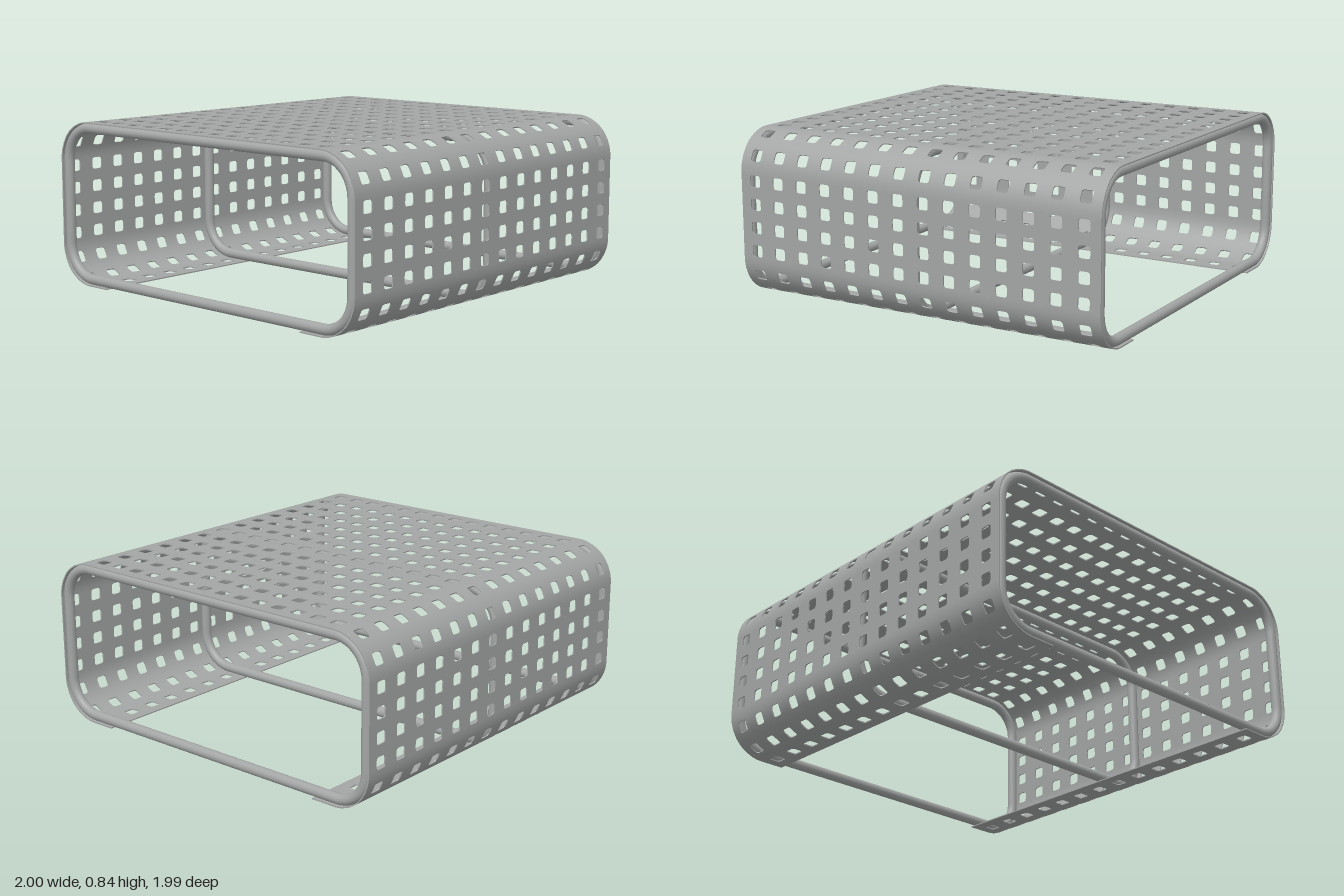
import * as THREE from 'three';

// Rounded-rectangle profile of the sheet, measured by arc length from the top centre
const HALF_W = 1, HEIGHT = 0.836, R = 0.203, HALF_D = 0.995, THICK = 0.006, TUBE_R = 0.026;
const FLAT = HALF_W - R, SIDE = HEIGHT - 2 * R, ARC = R * Math.PI / 2;
const HALF_LOOP = 2 * FLAT + SIDE + 2 * ARC;
const LIP_END = FLAT + SIDE + 2 * ARC + 0.127;

// Point and outward normal at arc length s, moved inwards by inset
function profile(s, inset) {
  const sign = s < 0 ? -1 : 1;
  let d = Math.abs(s), x, y, a; // a: angle of the normal from straight up
  if (d <= FLAT) { x = d; y = HEIGHT - R; a = 0; }
  else if ((d -= FLAT) <= ARC) { x = FLAT; y = HEIGHT - R; a = d / R; }
  else if ((d -= ARC) <= SIDE) { x = FLAT; y = HEIGHT - R - d; a = Math.PI / 2; }
  else if ((d -= SIDE) <= ARC) { x = FLAT; y = R; a = Math.PI / 2 + d / R; }
  else { x = FLAT - (d - ARC); y = R; a = Math.PI; }
  const nx = Math.sin(a), ny = Math.cos(a), r = R - inset;
  return {
    p: new THREE.Vector3(sign * (x + nx * r), y + ny * r, 0),
    n: new THREE.Vector3(sign * nx, ny, 0),
  };
}

// Closed loop that runs just inside the sheet
class FrameCurve extends THREE.Curve {
  getPoint(t, target = new THREE.Vector3()) {
    const s = (t % 1) * 2 * HALF_LOOP - HALF_LOOP;
    return target.copy(profile(s, THICK + TUBE_R).p);
  }
}

// Hole centres along the profile and along the depth
function holeCentres() {
  const half = [];
  for (let k = 0; k < 7; k++) half.push(0.0582 + 0.1163 * k);
  const sideMid = FLAT + ARC + SIDE / 2;
  for (const o of [-0.44, -0.305, -0.176, -0.0585, 0.0585, 0.176, 0.305, 0.44]) half.push(sideMid + o);
  half.push(FLAT + ARC * 2 + SIDE + 0.041);
  return [...half.map((s) => -s).reverse(), ...half];
}
const depthCentres = Array.from({ length: 14 }, (_, i) => (i - 6.5) * 0.1402);

// Cell edges lie midway between neighbouring holes
const cellEdges = (c, end) => [-end, ...c.slice(1).map((v, i) => (v + c[i]) / 2), end];

// Unit square outline, with points gathered towards the corners
function squareRing() {
  const ring = [], steps = [-1, -0.8, -0.56, 0, 0.56, 0.8];
  for (const u of steps) ring.push([u, -1]);
  for (const u of steps) ring.push([1, u]);
  for (const u of steps) ring.push([-u, 1]);
  for (const u of steps) ring.push([-1, -u]);
  return ring;
}

// Bent sheet made of cells, each with one rounded square hole
function perforatedSheet() {
  const pos = [], nor = [];
  const ab = new THREE.Vector3(), ac = new THREE.Vector3();
  const tri = (pts, normals) => {
    ab.subVectors(pts[1], pts[0]);
    ac.subVectors(pts[2], pts[0]);
    const order = ab.cross(ac).dot(normals[0]) < 0 ? [0, 2, 1] : [0, 1, 2];
    for (const i of order) {
      pos.push(...pts[i].toArray());
      nor.push(...normals[i].toArray());
    }
  };
  const quad = (p, n) => {
    tri([p[0], p[1], p[2]], [n[0], n[1], n[2]]);
    tri([p[0], p[2], p[3]], [n[0], n[2], n[3]]);
  };
  const at = ([s, z], inset) => {
    const f = profile(s, inset);
    f.p.z = z;
    return f;
  };
  const face = (corners, inset, dir) => {
    const f = corners.map((c) => at(c, inset));
    quad(f.map((v) => v.p), f.map((v) => v.n.multiplyScalar(dir)));
  };
  // Wall through the thickness, facing the given [s, z] point
  const wall = (a, b, towards) => {
    const p = [at(a, 0).p, at(b, 0).p, at(b, THICK).p, at(a, THICK).p];
    const n = new THREE.Vector3().crossVectors(
      p[1].clone().sub(p[0]), p[3].clone().sub(p[0])).normalize();
    if (n.dot(at(towards, THICK / 2).p.sub(p[0])) < 0) n.negate();
    quad(p, [n, n, n, n]);
  };

  const ring = squareRing(), half = 0.03, round = 0.013, core = half - round;
  const clamp = (v) => THREE.MathUtils.clamp(v, -core, core);
  const sC = holeCentres(), sE = cellEdges(sC, LIP_END), zE = cellEdges(depthCentres, HALF_D);
  const stretch = (u, c, lo, hi) => (u < 0 ? c + (c - lo) * u : c + (hi - c) * u);

  sC.forEach((s, i) => depthCentres.forEach((z, j) => {
    const outer = ring.map(([u, v]) => [stretch(u, s, sE[i], sE[i + 1]), stretch(v, z, zE[j], zE[j + 1])]);
    const hole = ring.map(([u, v]) => {
      const qx = clamp(u * half), qy = clamp(v * half);
      const dx = u * half - qx, dy = v * half - qy, k = round / Math.hypot(dx, dy);
      return [s + qx + dx * k, z + qy + dy * k];
    });
    ring.forEach((_, a) => {
      const b = (a + 1) % ring.length;
      const corners = [outer[a], outer[b], hole[b], hole[a]];
      face(corners, 0, 1);
      face(corners, THICK, -1);
      wall(hole[a], hole[b], [s, z]);
      // Outer rim of the whole sheet
      for (const [axis, end] of [[0, LIP_END], [1, HALF_D]]) {
        const v = outer[a][axis];
        if (Math.abs(Math.abs(v) - end) < 1e-6 && Math.abs(v - outer[b][axis]) < 1e-6) {
          const out = [...outer[a]];
          out[axis] += Math.sign(v) * 0.05;
          wall(outer[a], outer[b], out);
        }
      }
    });
  }));

  const g = new THREE.BufferGeometry();
  g.setAttribute('position', new THREE.Float32BufferAttribute(pos, 3));
  g.setAttribute('normal', new THREE.Float32BufferAttribute(nor, 3));
  return g;
}

export function createModel() {
  const model = new THREE.Group();
  model.name = 'perforatedBench';
  const metal = new THREE.MeshStandardMaterial({ color: 0xa3a6a5 });
  metal.name = 'grey metal';

  const sheet = new THREE.Mesh(perforatedSheet(), metal);
  sheet.name = 'perforatedSheet';
  model.add(sheet);

  // Three tube hoops that carry the sheet
  const hoop = new THREE.TubeGeometry(new FrameCurve(), 220, TUBE_R, 14, true);
  const endZ = HALF_D - TUBE_R;
  for (const [name, z] of [['frontHoop', endZ], ['middleHoop', 0], ['backHoop', -endZ]]) {
    const mesh = new THREE.Mesh(hoop, metal);
    mesh.name = name;
    mesh.position.z = z;
    model.add(mesh);
  }
  return model;
}
